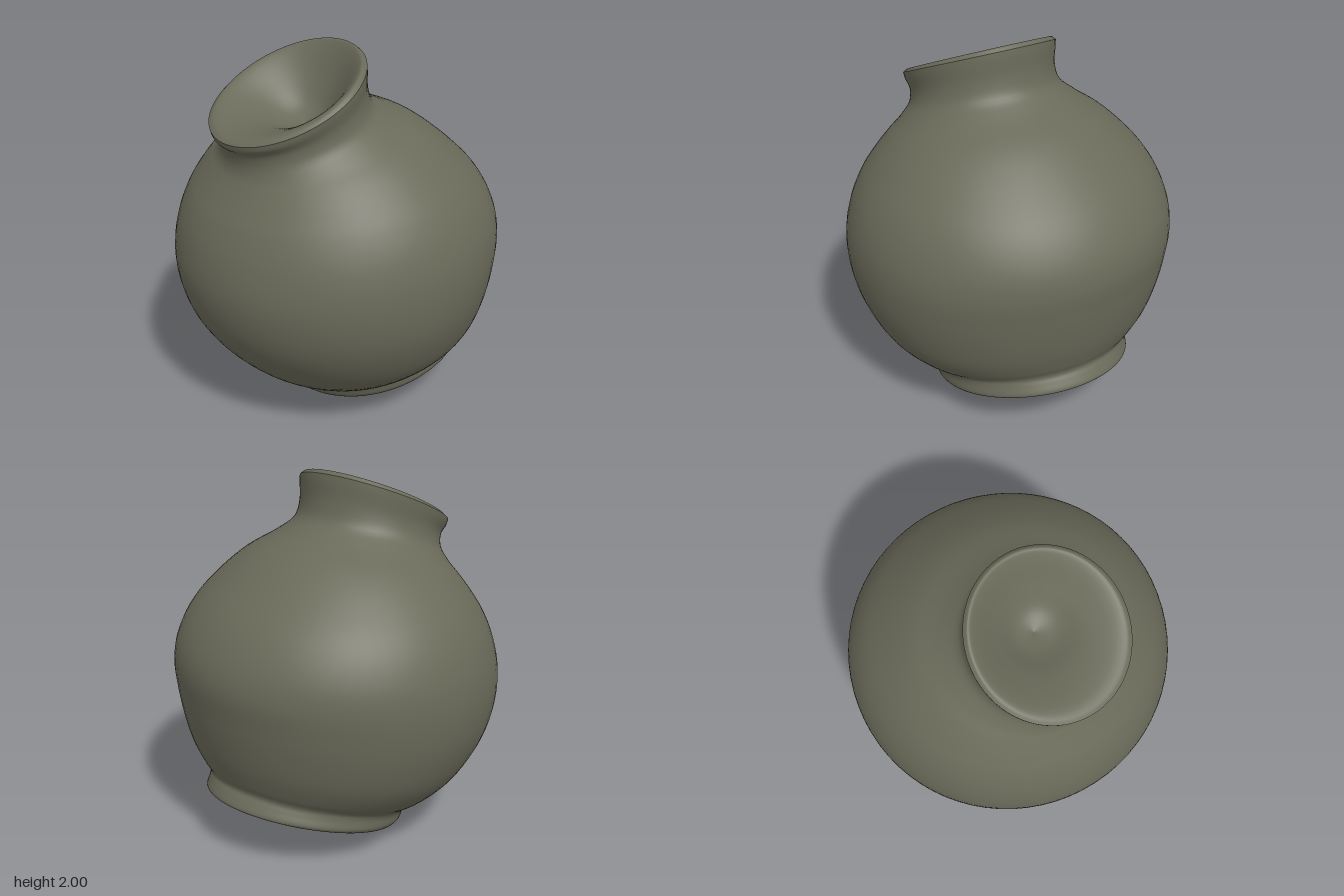
import * as THREE from 'three';

const SIDES = 72, STEPS = 5;

// Tilted rings, pole to pole: front z, front y, back z, back y, half width in x
const OUTER = [
  [-0.29, 0.165, -0.29, 0.165, 0],
  [0.16, 0.01, -0.74, 0.3, 0.47],
  [0.22, 0.005, -0.79, 0.315, 0.515],
  [0.27, 0.035, -0.81, 0.335, 0.54],
  [0.295, 0.075, -0.785, 0.38, 0.545],
  [0.31, 0.095, -0.765, 0.41, 0.56],
  [0.38, 0.13, -0.785, 0.47, 0.63],
  [0.57, 0.26, -0.82, 0.58, 0.755],
  [0.74, 0.44, -0.85, 0.72, 0.84],
  [0.84, 0.62, -0.87, 0.85, 0.885],
  [0.885, 0.84, -0.885, 1.0, 0.9],
  [0.86, 1.04, -0.86, 1.13, 0.875],
  [0.8, 1.2, -0.77, 1.29, 0.81],
  [0.74, 1.3, -0.62, 1.44, 0.72],
  [0.69, 1.38, -0.42, 1.59, 0.6],
  [0.66, 1.44, -0.22, 1.685, 0.48],
  [0.655, 1.5, -0.13, 1.75, 0.41],
  [0.67, 1.55, -0.1, 1.84, 0.395],
  [0.705, 1.58, -0.09, 1.95, 0.41],
  [0.715, 1.61, -0.085, 1.985, 0.415],
];
const MOUTH = [
  [0.715, 1.61, -0.085, 1.985, 0.415],
  [0.69, 1.63, -0.06, 2.0, 0.39],
  [0.63, 1.645, -0.03, 1.96, 0.345],
  [0.46, 1.64, 0.04, 1.8, 0.22],
  [0.32, 1.605, 0.11, 1.67, 0.11],
  [0.2, 1.6, 0.2, 1.6, 0],
];

// Smooth skin through a list of tilted elliptical rings
function skin(rings) {
  const front = new THREE.CatmullRomCurve3(rings.map(r => new THREE.Vector3(r[4], r[1], r[0])));
  const back = new THREE.CatmullRomCurve3(rings.map(r => new THREE.Vector3(r[4], r[3], r[2])));
  const rows = (rings.length - 1) * STEPS;
  const pos = [], idx = [];
  for (let i = 0; i <= rows; i++) {
    const f = front.getPoint(i / rows), b = back.getPoint(i / rows);
    for (let j = 0; j < SIDES; j++) {
      const a = j / SIDES * Math.PI * 2, c = Math.cos(a);
      pos.push(f.x * Math.sin(a), (f.y + b.y) / 2 + (f.y - b.y) / 2 * c, (f.z + b.z) / 2 + (f.z - b.z) / 2 * c);
      if (i < rows) {
        const p = i * SIDES + j, q = i * SIDES + (j + 1) % SIDES;
        idx.push(p, q, p + SIDES, q, q + SIDES, p + SIDES);
      }
    }
  }
  const g = new THREE.BufferGeometry();
  g.setAttribute('position', new THREE.Float32BufferAttribute(pos, 3));
  g.setIndex(idx);
  g.computeVertexNormals();
  return g;
}

export function createModel() {
  const group = new THREE.Group();
  group.name = 'leaningPot';
  const clay = new THREE.MeshStandardMaterial({ color: 0x6a6a5a });
  clay.name = 'grey olive clay';

  // Foot, round belly and neck in one skin, then the hollow of the mouth
  for (const [name, rings] of [['potBody', OUTER], ['mouthHollow', MOUTH]]) {
    const mesh = new THREE.Mesh(skin(rings), clay);
    mesh.name = name;
    group.add(mesh);
  }
  return group;
}
